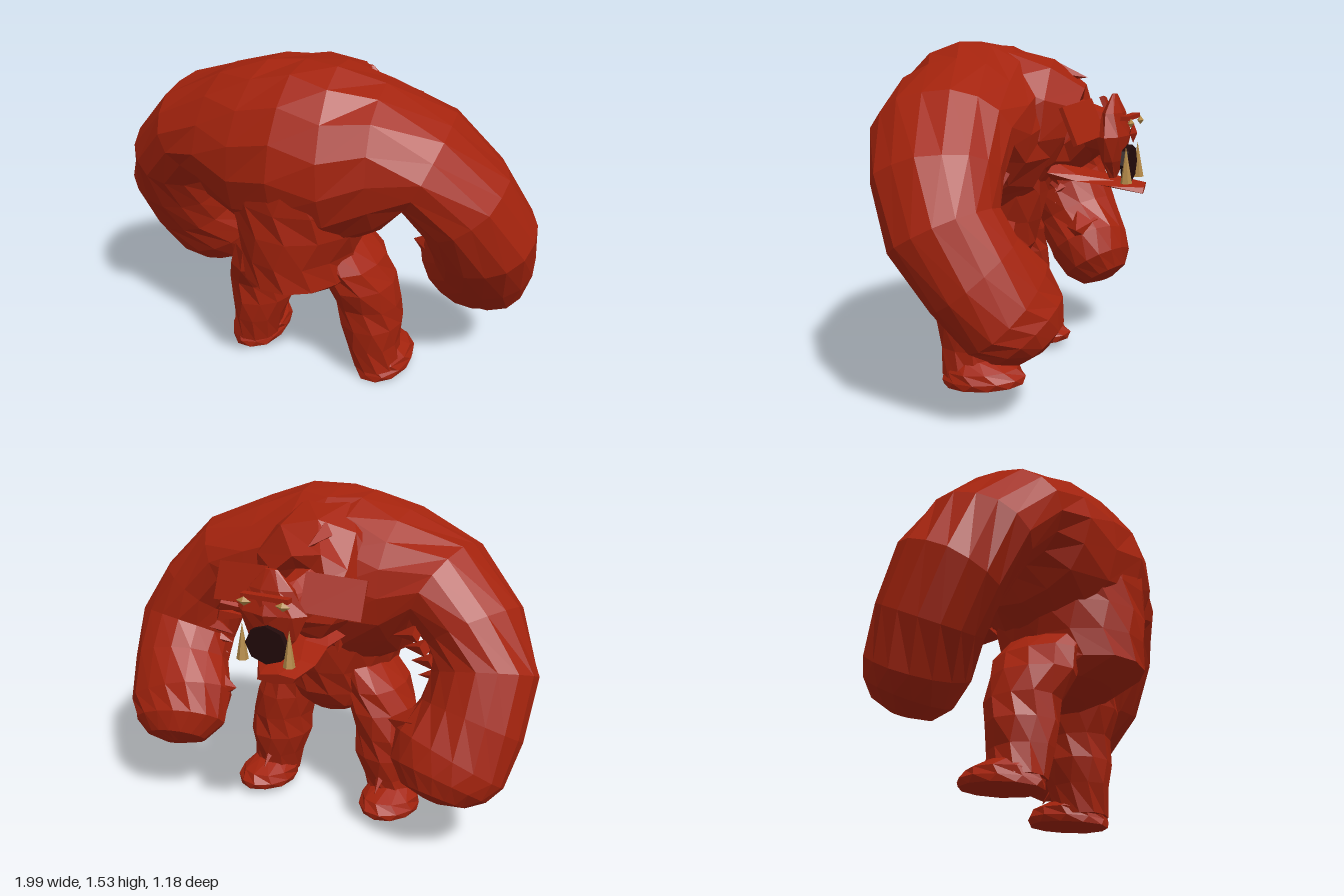
import * as THREE from 'three';

// Repeatable rough noise in -1..1
const noise = (n) => { const s = Math.sin(n * 127.1 + 11.7) * 43758.5453; return (s - Math.floor(s)) * 2 - 1; };

// Faceted body skinned over sections [x, y, z, radiusAlongRef, radiusAcross];
// an optional axis keeps every section square to it
function loft(sections, ref, sides, rough = 0, seed = 1, axis = null) {
  const centers = sections.map((s) => new THREE.Vector3(s[0], s[1], s[2]));
  const pos = [], index = [], n = sections.length;
  sections.forEach((s, k) => {
    const t = axis || centers[Math.min(k + 1, n - 1)].clone().sub(centers[Math.max(k - 1, 0)]).normalize();
    const u = ref.clone().addScaledVector(t, -ref.dot(t)).normalize();
    const v = t.clone().cross(u);
    for (let i = 0; i < sides; i++) {
      const a = ((i + (k % 2) * 0.35) / sides) * Math.PI * 2;
      const r = 1 + rough * noise(seed * 500 + k * 31 + i);
      const p = centers[k].clone().addScaledVector(u, Math.cos(a) * s[3] * r).addScaledVector(v, Math.sin(a) * s[4] * r);
      pos.push(p.x, p.y, p.z);
    }
  });
  for (let k = 0; k < n - 1; k++) for (let i = 0; i < sides; i++) {
    const j = (i + 1) % sides, a = k * sides + i, b = k * sides + j;
    index.push(a, b, a + sides, b, b + sides, a + sides);
  }
  const first = n * sides;
  pos.push(...centers[0].toArray(), ...centers[n - 1].toArray());
  for (let i = 0; i < sides; i++) {
    const j = (i + 1) % sides, e = (n - 1) * sides;
    index.push(first, j, i, first + 1, e + i, e + j);
  }
  const g = new THREE.BufferGeometry();
  g.setAttribute('position', new THREE.Float32BufferAttribute(pos, 3));
  g.setIndex(index);
  const flat = g.toNonIndexed();
  flat.computeVertexNormals();
  return flat;
}

export function createModel() {
  const model = new THREE.Group();
  const material = (name, color, extra) => {
    const m = new THREE.MeshStandardMaterial({ color, flatShading: true, ...extra });
    m.name = name;
    return m;
  };
  const hide = material('red hide', 0xa4230d, { side: THREE.DoubleSide });
  const dark = material('dark mouth', 0x220a0a);
  const ivory = material('tan ivory', 0xb58a48);

  const X = new THREE.Vector3(1, 0, 0), Z = new THREE.Vector3(0, 0, 1), DOWN = new THREE.Vector3(0, -1, 0);
  const add = (name, geometry, mat = hide) => {
    const mesh = new THREE.Mesh(geometry, mat);
    mesh.name = name;
    model.add(mesh);
    return mesh;
  };
  // Pointed shard from a base point to a tip
  const spike = (name, from, to, r, mat = hide, sides = 4) => {
    const a = new THREE.Vector3(...from), d = new THREE.Vector3(...to).sub(a);
    const mesh = add(name, new THREE.ConeGeometry(r, d.length(), sides), mat);
    mesh.position.copy(a).addScaledVector(d, 0.5);
    mesh.quaternion.setFromUnitVectors(new THREE.Vector3(0, 1, 0), d.normalize());
  };

  // Hunched shoulders running into both heavy arms
  const half = [
    [0.17, 1.135, 0.175, 0.38, 0.4],
    [0.36, 1.15, 0.155, 0.34, 0.32],
    [0.54, 1.15, 0.14, 0.305, 0.22],
    [0.69, 0.99, 0.1, 0.275, 0.215],
    [0.765, 0.8, 0.03, 0.24, 0.235],
    [0.745, 0.64, -0.085, 0.22, 0.24],
    [0.68, 0.5, -0.2, 0.205, 0.27],
    [0.65, 0.41, -0.275, 0.18, 0.23],
    [0.64, 0.35, -0.325, 0.12, 0.15],
    [0.635, 0.33, -0.34, 0.04, 0.05],
  ];
  const left = half.map(([x, y, z, a, b]) => [
    -x, y - Math.min(0.04, Math.max(0, 0.8 - y) * 0.15), z + Math.max(0, 0.75 - y) * 0.2, a, b,
  ]).reverse();
  add('shouldersAndArms', loft([...left, [0, 1.135, 0.19, 0.4, 0.405], ...half], Z, 16, 0.025, 3));

  // Torso and pelvis
  add('torso', loft([
    [0, 1.15, 0.19, 0.38, 0.37],
    [0, 0.98, 0.2, 0.35, 0.37],
    [0, 0.85, 0.22, 0.31, 0.355],
    [0, 0.72, 0.23, 0.26, 0.335],
    [0, 0.6, 0.24, 0.25, 0.315],
    [0, 0.53, 0.19, 0.22, 0.22],
    [0, 0.485, 0.15, 0.13, 0.13],
  ], X, 14, 0.03, 8, DOWN));

  // Legs and low flat feet
  for (const s of [-1, 1]) {
    const name = s > 0 ? 'left' : 'right';
    add(name + 'Leg', loft([
      [s * 0.15, 0.74, 0.17, 0.09, 0.2],
      [s * 0.21, 0.63, 0.16, 0.14, 0.21],
      [s * 0.25, 0.52, 0.145, 0.155, 0.2],
      [s * 0.28, 0.4, 0.12, 0.15, 0.17],
      [s * 0.29, 0.29, 0.115, 0.155, 0.165],
      [s * 0.3, 0.18, 0.12, 0.125, 0.145],
      [s * 0.325, 0.05, 0.12, 0.115, 0.125],
    ], X, 11, 0.04, 12 + s, DOWN));
    const foot = loft([
      [s * 0.325, 0.115, 0.1, 0.09, 0.11],
      [s * 0.33, 0.07, 0.06, 0.13, 0.175],
      [s * 0.335, 0.03, 0.045, 0.14, 0.195],
      [s * 0.335, 0.0, 0.05, 0.13, 0.19],
    ], X, 11, 0.03, 20 + s, DOWN);
    const p = foot.attributes.position;
    for (let i = 0; i < p.count; i++) p.setY(i, p.getY(i) + (0.24 - p.getZ(i)) * 0.1);
    foot.computeVertexNormals();
    add(name + 'Foot', foot);
    spike(name + 'AnkleTuft', [s * 0.3, 0.22, 0.02], [s * 0.3, 0.13, -0.07], 0.03);
  }

  // Thick neck and chest front
  add('neck', loft([
    [0, 1.17, 0.04, 0.34, 0.34],
    [-0.02, 1.18, -0.13, 0.28, 0.29],
    [-0.06, 1.14, -0.22, 0.2, 0.22],
    [-0.06, 1.12, -0.28, 0.14, 0.16],
    [-0.02, 1.14, -0.36, 0.1, 0.11],
    [0.01, 1.13, -0.44, 0.09, 0.1],
  ], X, 10, 0.05, 30));

  // Narrow, pointed head
  add('head', loft([
    [0.02, 1.31, -0.455, 0.03, 0.01],
    [0.02, 1.23, -0.455, 0.11, 0.045],
    [0.02, 1.13, -0.455, 0.165, 0.07],
    [0.02, 1.02, -0.455, 0.12, 0.045],
    [0.02, 0.94, -0.455, 0.04, 0.015],
  ], X, 8));

  // Thin ear flaps sweeping out beside the head
  for (const s of [-1, 1]) {
    const ear = add(s > 0 ? 'leftEar' : 'rightEar', new THREE.BoxGeometry(0.26, 0.17, 0.02));
    ear.position.set(s * 0.22, 1.2, -0.37);
    ear.rotation.set(0.4, -s * 0.22, 0);
  }

  // Thin lower jaw
  add('jaw', loft([
    [-0.03, 0.96, -0.18, 0.16, 0.05],
    [-0.03, 0.935, -0.3, 0.14, 0.025],
    [-0.04, 0.91, -0.45, 0.13, 0.02],
    [-0.06, 0.885, -0.58, 0.09, 0.025],
  ], X, 6));

  // Open mouth, nose and brow
  const mouth = add('mouth', new THREE.CylinderGeometry(0.098, 0.098, 0.03, 8), dark);
  mouth.rotation.x = Math.PI / 2;
  mouth.scale.z = 0.85;
  mouth.position.set(0.01, 1.005, -0.522);
  const nose = add('nose', new THREE.OctahedronGeometry(1));
  nose.scale.set(0.06, 0.045, 0.018);
  nose.position.set(0.01, 1.14, -0.54);
  const brow = add('brow', new THREE.BoxGeometry(0.22, 0.02, 0.035));
  brow.position.set(0.01, 1.21, -0.525);

  // Eyes and tusks
  for (const s of [-1, 1]) {
    const eye = add(s > 0 ? 'leftEye' : 'rightEye', new THREE.OctahedronGeometry(1), ivory);
    eye.scale.set(0.035, 0.02, 0.015);
    eye.position.set(0.01 + s * 0.09, 1.19, -0.55);
    spike(s > 0 ? 'leftTusk' : 'rightTusk', [0.01 + s * 0.11, 0.93, -0.54], [0.01 + s * 0.11, 1.09, -0.535], 0.026, ivory, 6);
  }

  // Ragged fur tufts on the crown, chest and inner arms
  spike('crownTuft', [-0.08, 1.4, -0.14], [-0.07, 1.375, -0.305], 0.05);
  spike('crownTuft', [0.04, 1.37, -0.14], [0, 1.335, -0.27], 0.05);
  for (const s of [-1, 1]) {
    for (let i = 0; i < 5; i++) {
      const y = 0.7 + i * 0.065, x = 0.55 - i * 0.035;
      spike('armTuft', [s * (x + 0.08), y + 0.03, -0.02 - i * 0.02], [s * (x - 0.04), y, -0.04 + 0.05 * noise(i + s)], 0.04);
    }
    spike('fistTuft', [s * 0.52, 0.58, -0.15], [s * 0.39, 0.59, -0.16], 0.1, hide, 5);
    spike('chestTuft', [s * 0.12, 1.0, -0.08], [s * 0.14, 0.86, -0.15], 0.08);
  }
  return model;
}
